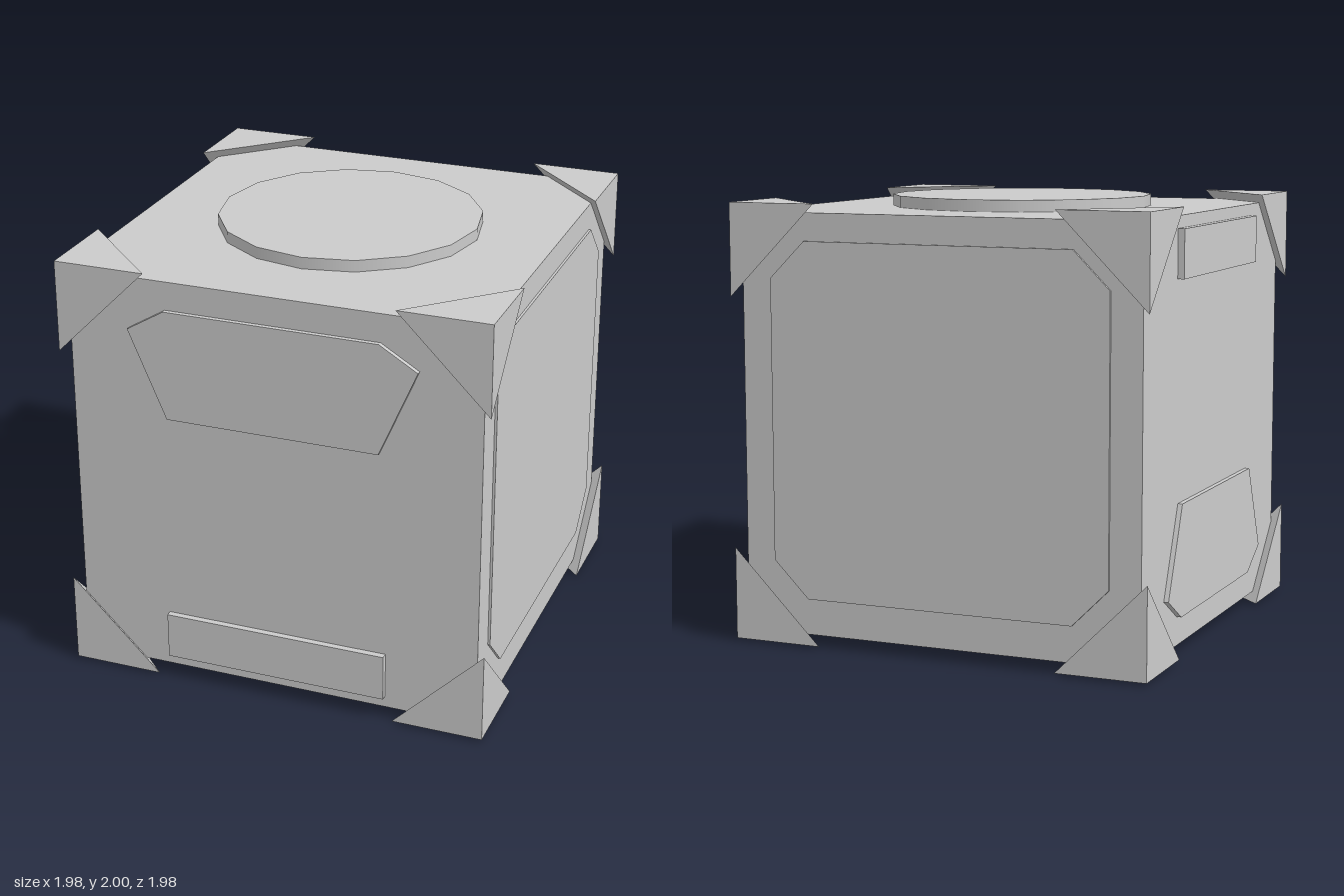
import * as THREE from 'three';

const material = new THREE.MeshStandardMaterial({ color: 0xcccccc, flatShading: true });
const smooth = new THREE.MeshStandardMaterial({ color: 0xcccccc });

const HALF = 0.947;   // half size of the main cube
const TIP = 0.988;    // outer reach of the corner guards
const ARM = 0.568;    // where each guard's arms end

function addMesh(parent, name, geometry, mat = material) {
  const mesh = new THREE.Mesh(geometry, mat);
  mesh.name = name;
  parent.add(mesh);
  return mesh;
}

// Thin plate on the +z side, raised from just inside the cube out to `front`
function plate(points, front) {
  const shape = new THREE.Shape(points.map(([x, y]) => new THREE.Vector2(x, y)));
  const back = HALF - 0.02;
  return new THREE.ExtrudeGeometry(shape, { depth: front - back, bevelEnabled: false }).translate(0, 0, back);
}

// Tetrahedral guard for the cube corner with signs sx, sy, sz
function cornerGuard(sx, sy, sz) {
  const corner = [sx * TIP, sy * TIP, sz * TIP];
  const a = [sx * ARM, sy * TIP, sz * TIP];
  const b = [sx * TIP, sy * ARM, sz * TIP];
  const c = [sx * TIP, sy * TIP, sz * ARM];
  let faces = [[corner, a, b], [corner, b, c], [corner, c, a], [a, c, b]];
  if (sx * sy * sz < 0) faces = faces.map(([p, q, r]) => [p, r, q]);
  const geometry = new THREE.BufferGeometry();
  geometry.setAttribute('position', new THREE.Float32BufferAttribute(faces.flat(2), 3));
  geometry.computeVertexNormals();
  return geometry;
}

export function createModel() {
  const model = new THREE.Group();
  model.name = 'panelledCube';

  // Everything is built around the cube's centre, then lifted to the ground
  const cube = new THREE.Group();
  cube.name = 'cube';
  cube.position.y = 1;
  model.add(cube);

  addMesh(cube, 'body', new THREE.BoxGeometry(2 * HALF, 2 * HALF, 2 * HALF));

  // Round discs on the top and bottom
  for (const [name, side] of [['topDisc', 1], ['bottomDisc', -1]]) {
    const disc = addMesh(cube, name, new THREE.CylinderGeometry(0.6, 0.6, 0.08, 16), smooth);
    disc.position.y = side * 0.96;
  }

  // Eight corner guards
  for (const sx of [-1, 1])
    for (const sy of [-1, 1])
      for (const sz of [-1, 1]) addMesh(cube, 'cornerGuard', cornerGuard(sx, sy, sz));

  // Front pair of plates, repeated upside down on the right side
  const hexagon = plate([[-0.49, 0.31], [0.49, 0.31], [0.663, 0.713], [0.49, 0.817], [-0.49, 0.817], [-0.663, 0.713]], 0.969);
  const strip = plate([[-0.522, -0.892], [0.522, -0.892], [0.522, -0.675], [-0.522, -0.675]], 0.977);
  for (const [name, turn, roll] of [['frontPlates', 0, 0], ['rightPlates', -Math.PI / 2, Math.PI]]) {
    const plates = new THREE.Group();
    plates.name = name;
    plates.rotation.set(0, turn, roll);
    addMesh(plates, 'hexagonPlate', hexagon);
    addMesh(plates, 'stripPlate', strip);
    cube.add(plates);
  }

  // Large clipped-corner panels on the left side and the back
  const panel = plate([
    [-0.635, -0.783], [0.635, -0.783], [0.803, -0.615], [0.803, 0.655],
    [0.635, 0.822], [-0.635, 0.822], [-0.803, 0.655], [-0.803, -0.615],
  ], 0.958);
  addMesh(cube, 'leftPanel', panel).rotation.y = Math.PI / 2;
  addMesh(cube, 'backPanel', panel).rotation.y = Math.PI;

  return model;
}
